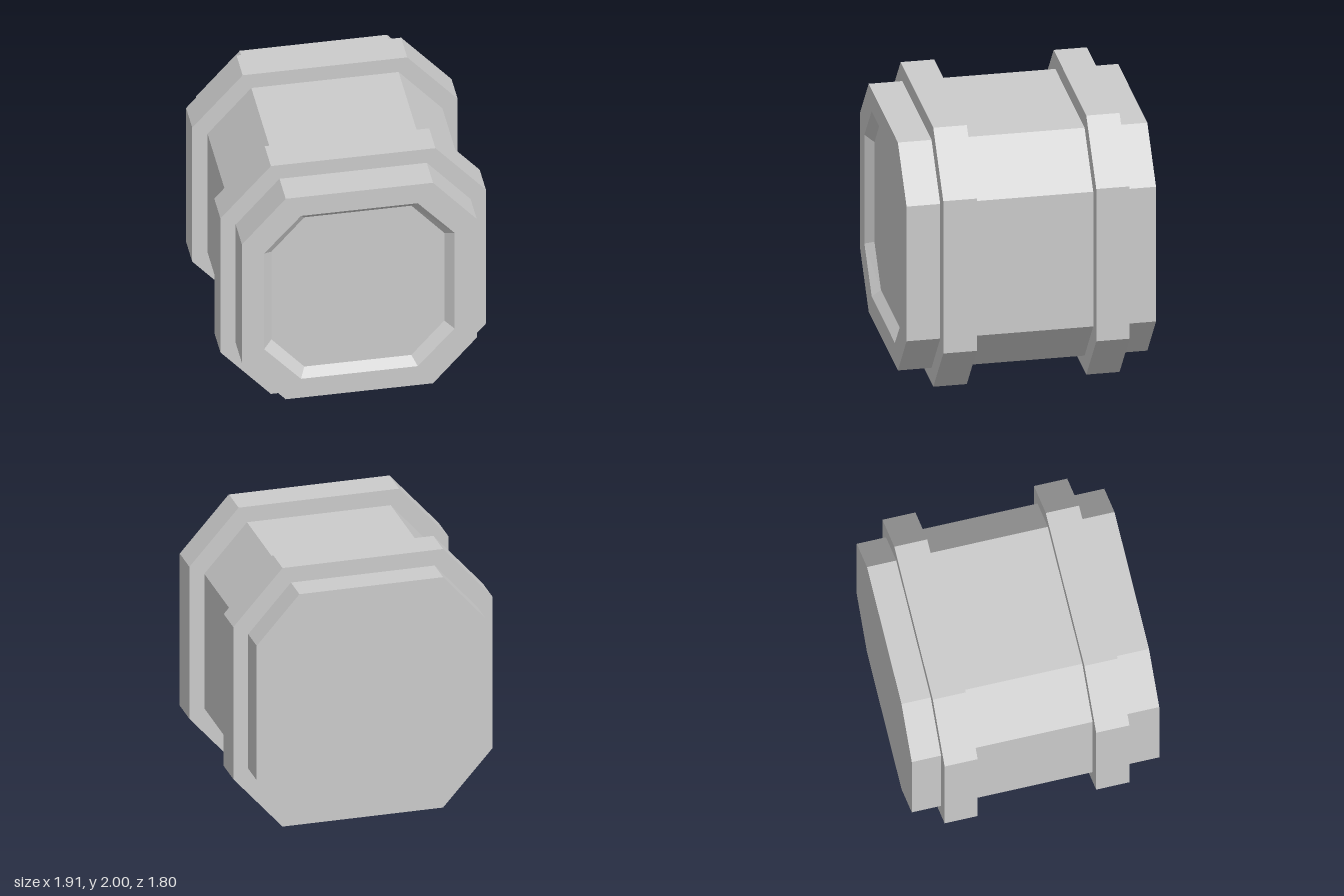
import * as THREE from 'three';

const CENTER_Y = 1;

// Chamfered rectangle: half width, half height, and the corner's x and y
const octagon = (w, h, cx, cy) => [
  [w, -cy], [w, cy], [cx, h], [-cx, h], [-w, cy], [-w, -cy], [-cx, -h], [cx, -h],
];

// Joins octagonal sections [outline, z] in order, with optional flat end caps
function loft(name, sections, capped) {
  const pos = [];
  const tri = (...pts) => pts.forEach((p) => pos.push(...p));
  const rows = sections.map(([outline, z]) => outline.map(([x, y]) => [x, y, z]));
  const n = rows[0].length;
  for (let i = 0; i < rows.length - 1; i++) {
    for (let j = 0; j < n; j++) {
      const k = (j + 1) % n;
      const a = rows[i][j], b = rows[i][k], c = rows[i + 1][k], d = rows[i + 1][j];
      tri(a, b, c);
      tri(a, c, d);
    }
  }
  if (capped) {
    const back = rows[0], front = rows[rows.length - 1];
    for (let j = 1; j < n - 1; j++) {
      tri(back[0], back[j + 1], back[j]);
      tri(front[0], front[j], front[j + 1]);
    }
  }
  const geometry = new THREE.BufferGeometry();
  geometry.setAttribute('position', new THREE.Float32BufferAttribute(pos, 3));
  geometry.computeVertexNormals();
  const mesh = new THREE.Mesh(
    geometry,
    new THREE.MeshStandardMaterial({ color: 0xcccccc, flatShading: true }),
  );
  mesh.name = name;
  mesh.position.y = CENTER_Y;
  return mesh;
}

export function createModel() {
  const group = new THREE.Group();
  group.name = 'bandedContainer';

  const bodyOutline = octagon(0.845, 0.88, 0.53, 0.52);
  const bandOutline = octagon(0.955, 1, 0.592, 0.588);
  const rimOutline = octagon(0.685, 0.715, 0.42, 0.42);
  const floorOutline = octagon(0.622, 0.655, 0.385, 0.385);

  // Body with a flat back and a shallow bevelled recess in the front
  group.add(loft('body', [
    [bodyOutline, -0.9],
    [bodyOutline, 0.9],
    [rimOutline, 0.9],
    [floorOutline, 0.84],
  ], true));

  // Raised bands around the body
  const bands = [['frontBand', 0.415, 0.657], ['backBand', -0.687, -0.447]];
  for (const [name, z0, z1] of bands) {
    group.add(loft(name, [
      [bodyOutline, z0],
      [bandOutline, z0],
      [bandOutline, z1],
      [bodyOutline, z1],
    ], false));
  }

  return group;
}
